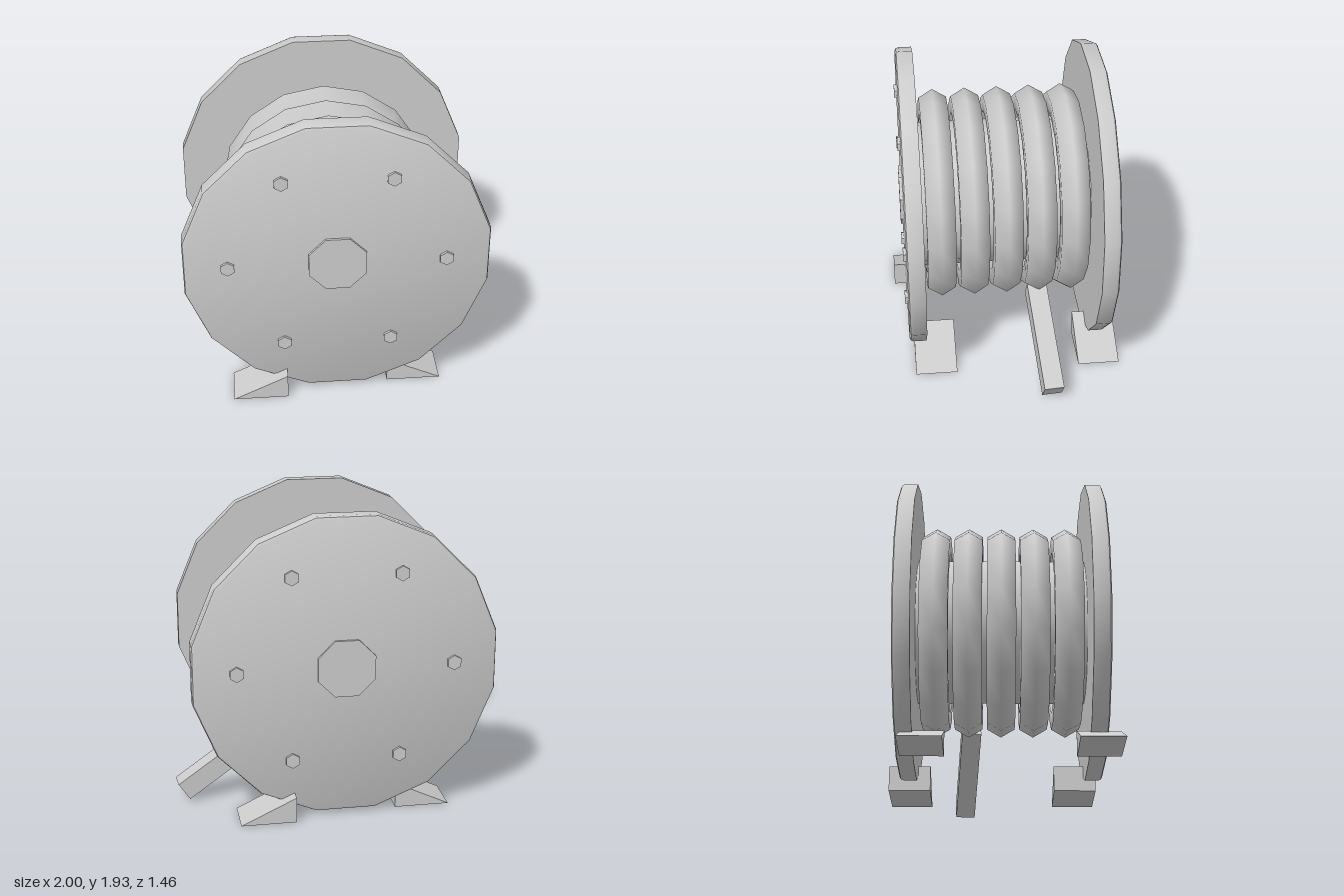
import * as THREE from 'three';
import { toCreasedNormals } from 'three/addons/utils/BufferGeometryUtils.js';

const CX = -0.047, CY = 0.975; // drum axis, running along z

export function createModel() {
  const group = new THREE.Group();
  const grey = new THREE.MeshStandardMaterial({ color: 0xcccccc });
  grey.name = 'light grey';

  function add(name, geometry, parent = group) {
    const mesh = new THREE.Mesh(geometry, grey);
    mesh.name = name;
    parent.add(mesh);
    return mesh;
  }

  // Prism along z with its first corner turned by `turn`
  function prism(radius, depth, sides, turn) {
    const g = new THREE.CylinderGeometry(radius, radius, depth, sides, 1, false, turn);
    return g.rotateX(Math.PI / 2);
  }

  // Drum: everything centred on the axis
  const drum = new THREE.Group();
  drum.name = 'drum';
  drum.position.set(CX, CY, 0);
  group.add(drum);
  add('core', prism(0.472, 1.1, 16, Math.PI / 16), drum);

  // Coils of thick cable
  for (let i = -2; i <= 2; i++) {
    const coil = add('cableCoil', new THREE.TorusGeometry(0.581, 0.104, 6, 16), drum);
    coil.position.z = i * 0.21;
  }

  // Flanges, with softened outer rim, hub plate and bolts
  const R = 0.971;
  const profile = [[0, 0], [R, 0], [R, 0.085], [R - 0.007, 0.102], [R - 0.023, 0.11], [0, 0.11]]
    .map(([x, y]) => new THREE.Vector2(x, y));
  const flangeGeo = toCreasedNormals(
    new THREE.LatheGeometry(profile, 16, Math.PI / 16).rotateX(Math.PI / 2), Math.PI / 5);
  const hubGeo = toCreasedNormals(prism(0.195, 0.05, 8, Math.PI / 8), 0.5);
  const boltGeo = toCreasedNormals(prism(0.048, 0.04, 6, 0), 0.5);
  for (const side of [0, 1]) {
    const end = new THREE.Group();
    end.name = side ? 'backEnd' : 'frontEnd';
    end.rotation.y = side * Math.PI;
    drum.add(end);
    add('flange', flangeGeo, end).position.z = 0.538;
    add('hubPlate', hubGeo, end).position.z = 0.64;
    for (let i = 0; i < 6; i++) {
      const a = i * Math.PI / 3;
      add('bolt', boltGeo, end).position.set(0.68 * Math.cos(a), 0.68 * Math.sin(a), 0.645);
    }
  }

  // Wedge chocks, staggered in depth on diagonal corners
  for (const sx of [-1, 1]) {
    for (const sz of [-1, 1]) {
      const shape = new THREE.Shape();
      shape.moveTo(sx * 0.328, 0);
      shape.lineTo(sx * 0.678, 0);
      shape.lineTo(sx * 0.328, 0.165);
      const depth = 0.27;
      const wedge = add('wedge', new THREE.ExtrudeGeometry(shape, { depth, bevelEnabled: false }));
      const centre = sz * (sx * sz < 0 ? 0.593 : 0.481);
      // front left and back right stick out past the flanges
      wedge.position.set(CX, 0, centre - depth / 2);
    }
  }

  // Loose end of the cable, reaching down to the ground
  const start = new THREE.Vector3(0.37, 0.465, -0.195);
  const tip = new THREE.Vector3(0.957, 0.07, -0.245);
  const tail = add('cableEnd', new THREE.BoxGeometry(0.127, 0.13, start.distanceTo(tip)));
  tail.position.copy(start).lerp(tip, 0.5);
  tail.lookAt(tip);

  return group;
}
